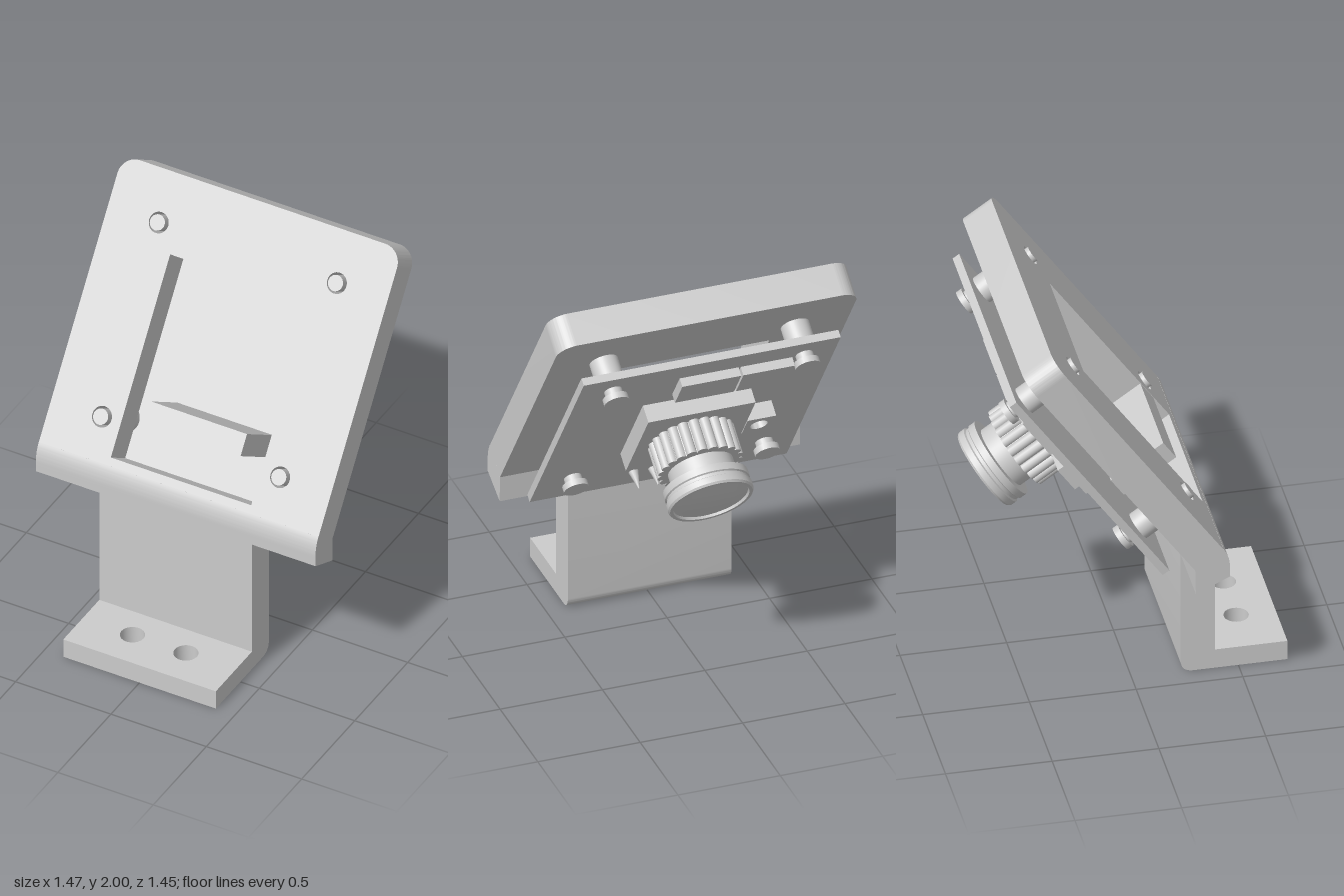
import * as THREE from 'three';
import { toCreasedNormals } from 'three/addons/utils/BufferGeometryUtils.js';

const grey = new THREE.MeshStandardMaterial({ color: 0xcccccc });

function add(parent, name, geometry) {
  const mesh = new THREE.Mesh(geometry, grey);
  mesh.name = name;
  parent.add(mesh);
  return mesh;
}

// Box given by its limits on each axis
function box(parent, name, [x0, x1], [y0, y1], [z0, z1]) {
  const mesh = add(parent, name, new THREE.BoxGeometry(x1 - x0, y1 - y0, z1 - z0));
  mesh.position.set((x0 + x1) / 2, (y0 + y1) / 2, (z0 + z1) / 2);
  return mesh;
}

// Cylinder along z between two depths (r1 is the radius at z1, the rear end)
function rod(parent, name, r, x, y, z0, z1, sides = 24, r1 = r) {
  const mesh = add(parent, name, new THREE.CylinderGeometry(r1, r, z0 - z1, sides));
  mesh.rotation.x = -Math.PI / 2;
  mesh.position.set(x, y, (z0 + z1) / 2);
  return mesh;
}

function circleHole(shape, x, y, r) {
  shape.holes.push(new THREE.Path().absarc(x, y, r, 0, Math.PI * 2, true));
}

function extrude(shape, depth) {
  const geo = new THREE.ExtrudeGeometry(shape, { depth, bevelEnabled: false, curveSegments: 16 });
  return toCreasedNormals(geo, 0.5);
}

// Side profile drawn in (-z, y), extruded across x
function sideExtrude(shape, width) {
  return extrude(shape, width).rotateY(Math.PI / 2).translate(-width / 2, 0, 0);
}

export function createModel() {
  const model = new THREE.Group();
  model.name = 'cameraBracket';

  // Foot with two bolt holes
  const foot = new THREE.Shape();
  foot.moveTo(-0.4, -0.73).lineTo(0.4, -0.73).lineTo(0.4, -0.39).lineTo(-0.4, -0.39).closePath();
  for (const s of [-1, 1]) circleHole(foot, s * 0.14, -0.545, 0.058);
  add(model, 'foot', extrude(foot, 0.1).rotateX(-Math.PI / 2));

  // Upright with rounded heel
  const stem = new THREE.Shape();
  stem.moveTo(-0.39, 0).lineTo(-0.29, 0).quadraticCurveTo(-0.23, 0, -0.23, 0.06);
  stem.lineTo(-0.23, 0.645).lineTo(-0.39, 0.72).closePath();
  add(model, 'upright', sideExtrude(stem, 0.8));

  // Full-width bend joining the upright to the tilted plate
  const bend = new THREE.Shape();
  bend.moveTo(-0.39, 0.72).lineTo(-0.23, 0.645).lineTo(-0.227, 0.775).lineTo(-0.362, 0.87);
  bend.quadraticCurveTo(-0.39, 0.83, -0.39, 0.77).closePath();
  add(model, 'bend', sideExtrude(bend, 1.466));

  // Tilted assembly: origin at the plate's top front edge, local z is the plate normal
  const head = new THREE.Group();
  head.name = 'tiltedHead';
  head.position.set(0, 2, -0.43);
  head.rotation.x = -35 * Math.PI / 180;
  model.add(head);

  // Plate with rounded top corners, window and screw holes
  const W = 0.733, R = 0.09, screwX = 0.467, screwY = [-0.244, -1.176];
  const plate = new THREE.Shape();
  plate.moveTo(-W, -1.38).lineTo(W, -1.38).lineTo(W, -R);
  plate.absarc(W - R, -R, R, 0, Math.PI / 2);
  plate.absarc(-W + R, -R, R, Math.PI / 2, Math.PI);
  plate.closePath();
  const opening = new THREE.Path();
  opening.moveTo(-0.368, -0.366).lineTo(-0.368, -1.341).lineTo(0.368, -1.341).lineTo(0.368, -0.366).closePath();
  plate.holes.push(opening);
  for (const s of [-1, 1]) for (const y of screwY) circleHole(plate, s * screwX, y, 0.05);
  add(head, 'plate', extrude(plate, 0.165).translate(0, 0, -0.165));

  // Circuit board and its standoffs and screws
  box(head, 'circuitBoard', [-0.62, 0.635], [-1.373, -0.123], [-0.316, -0.278]);
  for (const s of [-1, 1]) for (const y of screwY) {
    const x = s * screwX;
    const ring = new THREE.Shape().absarc(0, 0, 0.068, 0, Math.PI * 2);
    circleHole(ring, 0, 0, 0.036);
    add(head, 'standoff', extrude(ring, 0.113)).position.set(x, y, -0.278);
    rod(head, 'screwShaft', 0.038, x, y, 0.016, -0.316);
    rod(head, 'screwNeck', 0.042, x, y, -0.316, -0.35);
    rod(head, 'screwHead', 0.06, x, y, -0.35, -0.38);
  }

  // Ribbon connector reaching forward through the window
  box(head, 'ribbonConnector', [-0.245, 0.258], [-1.14, -1.034], [-0.278, 0.022]);

  // Rear board parts: two flat chips, small socket, solder pins
  box(head, 'chip', [-0.148, 0.14], [-0.42, -0.25], [-0.36, -0.316]);
  box(head, 'chip', [-0.41, -0.158], [-0.42, -0.25], [-0.36, -0.316]);
  const socket = new THREE.Shape();
  socket.moveTo(-0.07, -0.07).lineTo(0.07, -0.07).lineTo(0.07, 0.07).lineTo(-0.07, 0.07).closePath();
  circleHole(socket, 0, 0, 0.042);
  add(head, 'socket', extrude(socket, 0.08)).position.set(-0.335, -0.78, -0.396);
  for (let i = 0; i < 4; i++) {
    rod(head, 'solderPin', 0.024, -0.13 + i * 0.095, -1.245, -0.316, -0.404, 10, 0.003);
  }

  // Lens: square mount, ribbed focus ring, neck and lipped front
  const cx = 0.007, cy = -0.748;
  box(head, 'lensMount', [cx - 0.262, cx + 0.262], [cy - 0.26, cy + 0.26], [-0.404, -0.316]);
  rod(head, 'focusRing', 0.185, cx, cy, -0.404, -0.56, 40);
  const ribs = 22;
  for (let i = 0; i < ribs; i++) {
    const a = (i / ribs) * Math.PI * 2;
    rod(head, 'focusRib', 0.025, cx + 0.181 * Math.cos(a), cy + 0.181 * Math.sin(a), -0.404, -0.56, 12);
  }
  const profile = [[0.155, 0.55], [0.155, 0.64], [0.203, 0.64], [0.203, 0.675], [0.196, 0.68],
    [0.196, 0.695], [0.205, 0.7], [0.205, 0.73], [0.198, 0.74], [0.182, 0.74], [0.178, 0.728],
    [0.168, 0.728], [0.12, 0.736], [0.06, 0.741], [0, 0.742]].map(([r, y]) => new THREE.Vector2(r, y));
  const lens = add(head, 'lensBarrel', toCreasedNormals(new THREE.LatheGeometry(profile, 40), 0.5));
  lens.rotation.x = -Math.PI / 2;
  lens.position.set(cx, cy, 0);

  return model;
}
